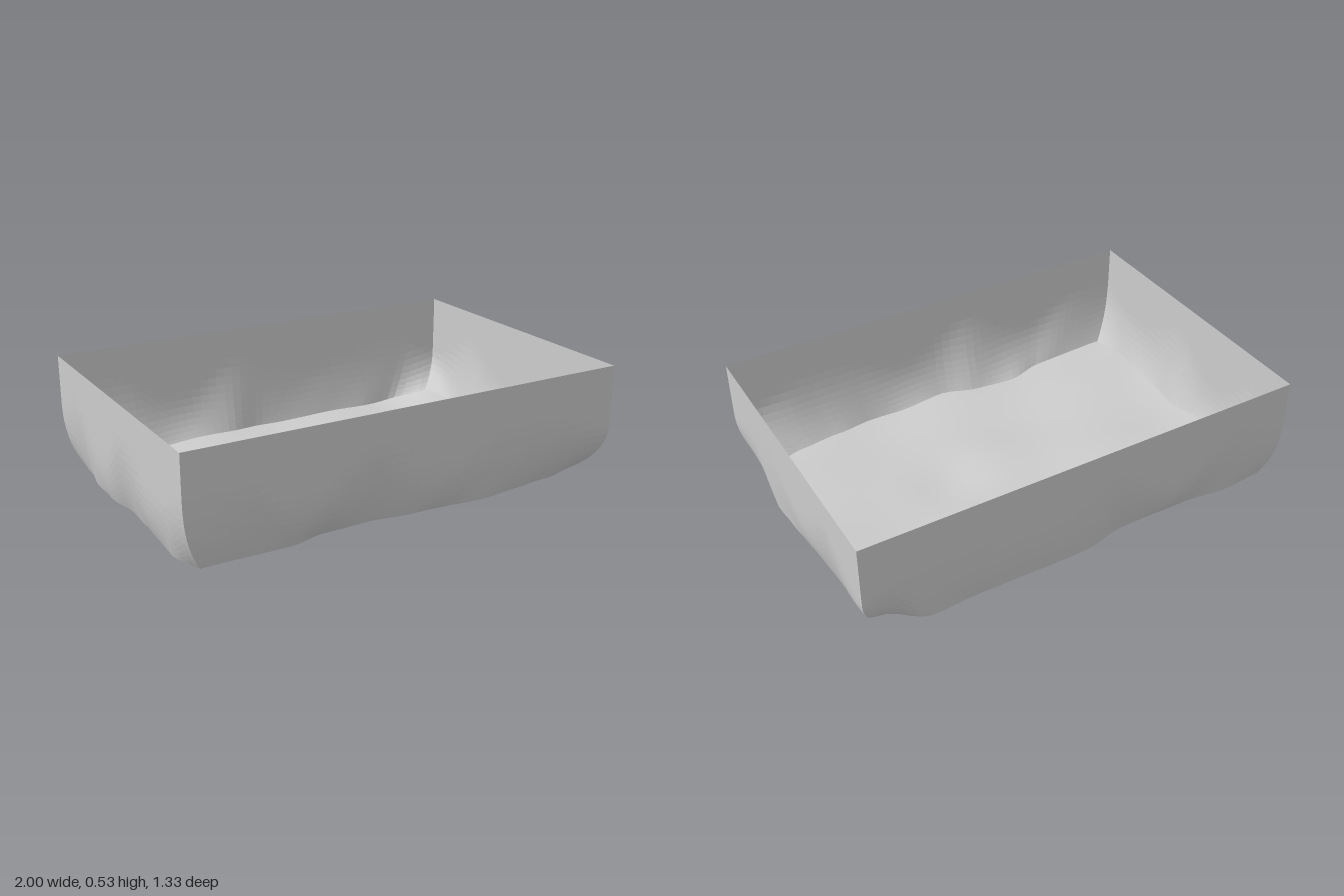
import * as THREE from 'three';

const HALF_X = 1, HALF_Z = 0.667, RIM = 0.535;

// Evenly spaced readings of the uneven floor outline
const BACK = [-0.62, -0.63, -0.61, -0.615, -0.615, -0.645, -0.645, -0.645, -0.64, -0.65, -0.58];
const FRONT = [0.62, 0.615, 0.61, 0.565, 0.575, 0.615, 0.605, 0.615, 0.595, 0.575, 0.53];
const LEFT = [-0.94, -0.95, -0.975, -0.97, -0.935, -0.945, -0.955, -0.96, -0.92]; // -x side
const RIGHT = [0.9, 0.94, 0.945, 0.955, 0.965, 0.975, 0.985, 0.95, 0.92]; // +x side

const { lerp, clamp } = THREE.MathUtils;

// Smoothly interpolated lookup in a list of readings
function sample(list, t) {
  const f = t * (list.length - 1);
  const i = Math.min(Math.floor(f), list.length - 2);
  const k = f - i;
  return lerp(list[i], list[i + 1], k * k * (3 - 2 * k));
}

const bump = (x, z, cx, cz, r) => Math.exp(-((x - cx) ** 2 + (z - cz) ** 2) / (r * r));

// Gently rolling ground, lifted along the border and at the corners
function floorHeight(x, z) {
  const edge = Math.max(Math.abs(x) / 0.95, Math.abs(z) / 0.62);
  const waves = 0.005 * Math.sin(9 * x + 3 * z) + 0.005 * Math.sin(11 * z - 4 * x + 1);
  return 0.029 + waves + 0.013 * clamp(edge, 0, 1) ** 6
    - 0.028 * bump(x, z, 0.25, 0.05, 0.17)
    + 0.05 * bump(x, z, 0.92, -0.57, 0.16)
    + 0.01 * bump(x, z, -0.92, 0.6, 0.15);
}

// Point on the floor, u runs along x and v along z, both from 0 to 1
function floorPoint(u, v) {
  const x = lerp(sample(LEFT, v), sample(RIGHT, v), u);
  const z = lerp(sample(BACK, u), sample(FRONT, u), v);
  return new THREE.Vector3(x, floorHeight(x, z), z);
}

// Point on a wall: upright at the rim, curling in to meet the floor border
function wallPoint(u, v, up) {
  const foot = floorPoint(u, v);
  const y = lerp(foot.y, RIM, up ** 1.4);
  const along = u * 9 + v * 7;
  const start = 0.34 + 0.07 * Math.sin(along * 1.9);
  const s = clamp((start - y) / (start - foot.y), 0, 1);
  const curl = s ** (2.3 + 0.5 * Math.sin(along * 2.7 + 1));
  return new THREE.Vector3(
    lerp((2 * u - 1) * HALF_X, foot.x, curl),
    y,
    lerp((2 * v - 1) * HALF_Z, foot.z, curl)
  );
}

// Grid sheet whose vertices are placed by a rule
function sheet(name, cols, rows, rule, flatShading) {
  const geometry = new THREE.PlaneGeometry(1, 1, cols, rows);
  const { position, uv } = geometry.attributes;
  for (let i = 0; i < position.count; i++) {
    const p = rule(uv.getX(i), uv.getY(i));
    position.setXYZ(i, p.x, p.y, p.z);
  }
  geometry.computeVertexNormals();
  const material = new THREE.MeshStandardMaterial({
    color: 0xcccccc, side: THREE.DoubleSide, flatShading
  });
  const mesh = new THREE.Mesh(geometry, material);
  mesh.name = name;
  return mesh;
}

export function createModel() {
  const model = new THREE.Group();
  model.name = 'openTray';

  // Floor
  model.add(sheet('floor', 48, 32, (a, b) => floorPoint(a, 1 - b), false));

  // Four walls, each facing outwards
  model.add(
    sheet('frontWall', 48, 14, (a, b) => wallPoint(a, 1, b), true),
    sheet('backWall', 48, 14, (a, b) => wallPoint(1 - a, 0, b), true),
    sheet('leftWall', 32, 14, (a, b) => wallPoint(1, 1 - a, b), true),
    sheet('rightWall', 32, 14, (a, b) => wallPoint(0, a, b), true)
  );
  return model;
}
